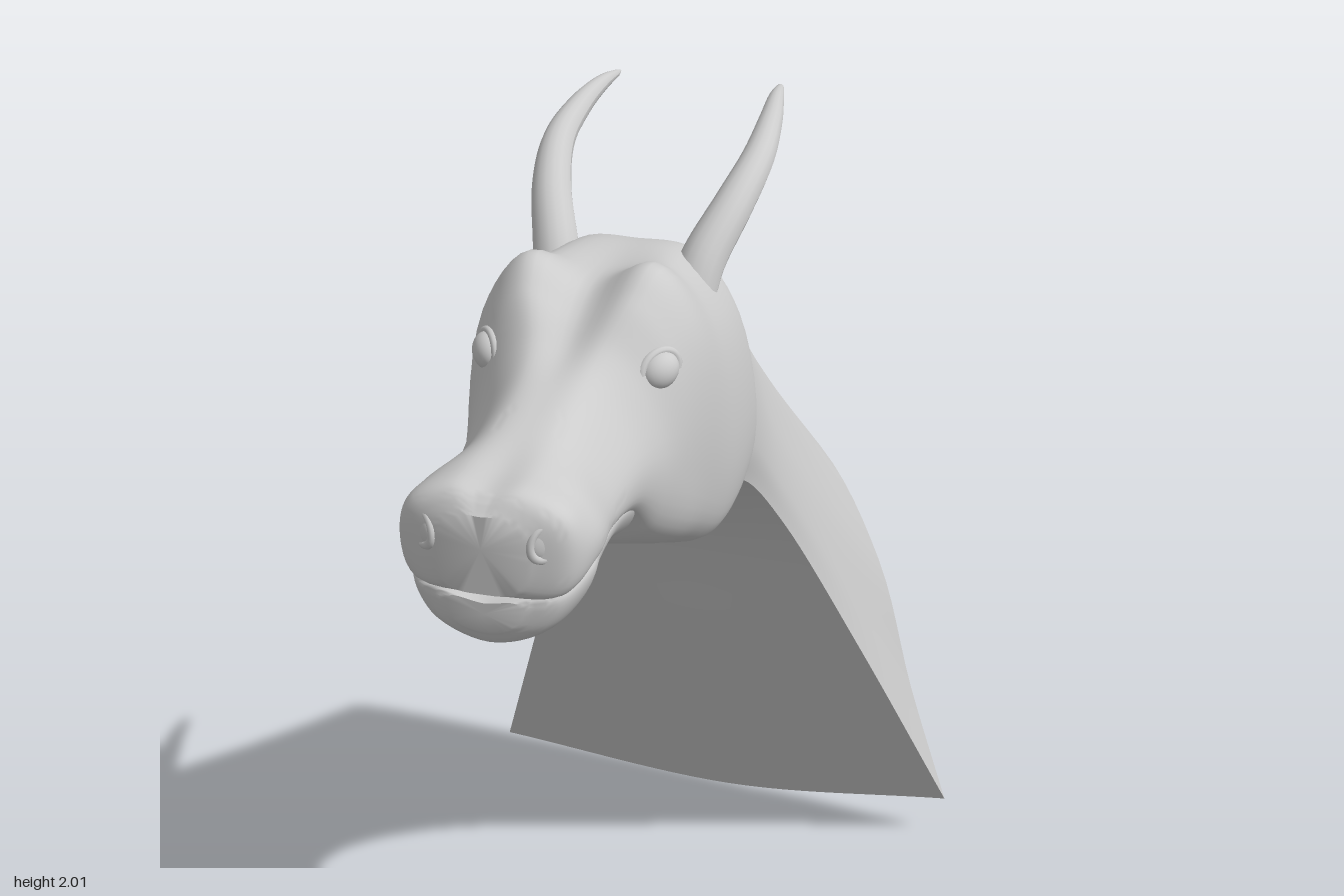
import * as THREE from 'three';
import { toCreasedNormals } from 'three/addons/utils/BufferGeometryUtils.js';

const solid = new THREE.MeshStandardMaterial({ color: 0xcccccc });
const thin = new THREE.MeshStandardMaterial({ color: 0xcccccc, side: THREE.DoubleSide });
const V = (x, y, z) => new THREE.Vector3(x, y, z);

// Smooth skin through cross-sections; closed skins get end caps
function loft(sections, nu, nv, closed) {
  const rings = sections.map((s) => {
    const curve = new THREE.CatmullRomCurve3(s, closed);
    return Array.from({ length: closed ? nv : nv + 1 }, (_, j) => curve.getPoint(j / nv));
  });
  const cols = rings[0].length;
  const lines = rings[0].map((_, j) => new THREE.CatmullRomCurve3(rings.map((r) => r[j])));
  const pos = [], idx = [];
  for (let i = 0; i <= nu; i++) for (const l of lines) pos.push(...l.getPoint(i / nu).toArray());
  for (let i = 0; i < nu; i++) {
    for (let j = 0; j < nv; j++) {
      const k = (j + 1) % cols, a = i * cols, b = a + cols;
      idx.push(a + j, a + k, b + j, a + k, b + k, b + j);
    }
  }
  if (closed) {
    for (const row of [0, nu]) {
      const mid = V(0, 0, 0);
      for (let j = 0; j < cols; j++) mid.add(V().fromArray(pos, (row * cols + j) * 3));
      const c = pos.length / 3;
      pos.push(...mid.divideScalar(cols).toArray());
      for (let j = 0; j < cols; j++) {
        const p = row * cols + j, q = row * cols + (j + 1) % cols;
        idx.push(c, ...(row ? [p, q] : [q, p]));
      }
    }
  }
  const g = new THREE.BufferGeometry();
  g.setAttribute('position', new THREE.Float32BufferAttribute(pos, 3));
  g.setIndex(idx);
  g.computeVertexNormals();
  return g;
}

// Row [z, topY, (x, y) pairs down the side, bottomY] to a mirrored ring
function ring([z, top, ...rest]) {
  const bottom = rest.pop(), side = [];
  for (let i = 0; i < rest.length; i += 2) side.push(V(rest[i], rest[i + 1], z));
  const other = side.map((p) => V(-p.x, p.y, z)).reverse();
  return [V(0, top, z), ...side, V(0, bottom, z), ...other];
}

function add(parent, name, geometry, material = solid) {
  const m = new THREE.Mesh(geometry, material);
  m.name = name;
  parent.add(m);
  return m;
}

// Tapered horn: a tube whose rings shrink towards the tip
function hornGeometry(side) {
  const path = new THREE.CatmullRomCurve3([
    [0.13, 1.74, 0.06], [0.145, 1.81, 0.02], [0.18, 1.89, -0.07], [0.2, 1.945, -0.18],
    [0.195, 1.977, -0.31], [0.182, 1.99, -0.42], [0.17, 1.986, -0.52],
  ].map(([x, y, z]) => V(side * x, y, z)));
  const n = 40, r = 16, g = new THREE.TubeGeometry(path, n, 1, r);
  const p = g.attributes.position, v = V();
  for (let i = 0; i <= n; i++) {
    const t = i / n, c = path.getPointAt(t);
    const radius = 0.046 * Math.pow(1 - t, 0.62) + 0.002;
    for (let j = 0; j <= r; j++) {
      const k = i * (r + 1) + j;
      v.fromBufferAttribute(p, k).sub(c).multiplyScalar(radius).add(c);
      p.setXYZ(k, v.x, v.y, v.z);
    }
  }
  g.computeVertexNormals();
  return g;
}

// Ball with a raised rim, facing a given direction
function rimmed(name, at, facing, radius, rim, depth, tilt) {
  const group = new THREE.Group();
  group.name = name;
  add(group, name + 'Ball', new THREE.SphereGeometry(radius, 24, 16)).scale.set(1, 0.85, depth);
  add(group, name + 'Rim', new THREE.TorusGeometry(radius, rim, 10, 32)).scale.set(1.05, 0.85, 1);
  group.position.copy(at);
  group.lookAt(at.clone().add(facing));
  group.rotateZ(tilt);
  return group;
}

export function createModel() {
  const model = new THREE.Group();
  model.name = 'hornedHead';

  // Skull and upper jaw, muzzle to nape
  const skull = [
    [0.918, 1.695, 0.03, 1.695, 0.07, 1.67, 0.08, 1.62, 0.06, 1.56, 1.55],
    [0.885, 1.72, 0.06, 1.727, 0.135, 1.69, 0.15, 1.62, 0.13, 1.55, 1.545],
    [0.8, 1.725, 0.065, 1.728, 0.135, 1.69, 0.172, 1.62, 0.155, 1.57, 1.565],
    [0.66, 1.738, 0.06, 1.73, 0.115, 1.68, 0.155, 1.6, 0.145, 1.56, 1.555],
    [0.52, 1.765, 0.06, 1.76, 0.12, 1.70, 0.167, 1.6, 0.15, 1.53, 1.52],
    [0.44, 1.785, 0.07, 1.795, 0.14, 1.73, 0.19, 1.58, 0.16, 1.45, 1.41],
    [0.36, 1.82, 0.1, 1.86, 0.18, 1.77, 0.213, 1.55, 0.18, 1.40, 1.37],
    [0.28, 1.845, 0.115, 1.9, 0.205, 1.78, 0.23, 1.5, 0.19, 1.36, 1.335],
    [0.16, 1.84, 0.12, 1.85, 0.213, 1.73, 0.245, 1.43, 0.2, 1.305, 1.285],
    [0.02, 1.835, 0.11, 1.825, 0.21, 1.70, 0.247, 1.42, 0.2, 1.30, 1.285],
    [-0.06, 1.81, 0.11, 1.8, 0.2, 1.68, 0.237, 1.42, 0.19, 1.315, 1.30],
    [-0.085, 1.79, 0.1, 1.78, 0.185, 1.67, 0.215, 1.43, 0.175, 1.34, 1.325],
  ];
  add(model, 'skull', toCreasedNormals(loft(skull.map(ring), 88, 60, true), 0.8));

  // Lower jaw, chin to throat
  const jaw = [
    [0.912, 1.53, 0.06, 1.535, 0.05, 1.49, 1.475],
    [0.885, 1.54, 0.125, 1.545, 0.1, 1.48, 1.44],
    [0.8, 1.56, 0.155, 1.565, 0.12, 1.475, 1.42],
    [0.72, 1.565, 0.148, 1.567, 0.11, 1.475, 1.425],
    [0.6, 1.555, 0.145, 1.555, 0.11, 1.49, 1.465],
    [0.46, 1.53, 0.15, 1.53, 0.12, 1.46, 1.405],
    [0.3, 1.5, 0.15, 1.5, 0.12, 1.42, 1.36],
  ];
  add(model, 'lowerJaw', toCreasedNormals(loft(jaw.map(ring), 48, 40, true), 0.8));

  // Neck: open shell, each section running from the crest down to the corner
  const neck = [
    [[0, 1.825, 0], [0.13, 1.78, 0], [0.2, 1.57, 0], [0.205, 1.4, 0], [0.18, 1.3, -0.03]],
    [[0, 1.75, -0.2], [0.11, 1.70, -0.2], [0.19, 1.5, -0.19], [0.205, 1.34, -0.18], [0.19, 1.255, -0.18]],
    [[0, 1.58, -0.4], [0.12, 1.5, -0.39], [0.2, 1.32, -0.37], [0.235, 1.16, -0.36], [0.24, 1.07, -0.36]],
    [[0, 1.405, -0.6], [0.155, 1.28, -0.6], [0.27, 1.05, -0.59], [0.34, 0.82, -0.585], [0.378, 0.66, -0.58]],
    [[0, 1.2, -0.83], [0.22, 1.03, -0.835], [0.37, 0.75, -0.84], [0.465, 0.41, -0.845], [0.565, 0.1, -0.85]],
  ].map((s) => s.map((p) => V(...p)));
  const mirror = (p) => V(-p.x, p.y, p.z);
  const mantle = neck.map((s) => [...s.slice(1).map(mirror).reverse(), ...s]);
  add(model, 'neckMantle', loft(mantle, 32, 48, false), thin);

  // Underside joins the two corners of every neck section
  const throat = [[1.285, -0.03], [1.225, -0.2], [1.02, -0.4], [0.61, -0.61], [0, -0.92]];
  const under = neck.map((s, i) => [s[4], V(0, ...throat[i]), mirror(s[4])]);
  add(model, 'neckUnderside', loft(under, 32, 24, false), thin);

  // Paired features
  for (const side of [1, -1]) {
    const label = side > 0 ? 'left' : 'right';
    add(model, label + 'Horn', hornGeometry(side));
    model.add(rimmed(label + 'Eye', V(side * 0.16, 1.745, 0.385), V(side * 0.8, 0.15, 0.6), 0.04, 0.009, 0.75, side * 0.3));
    model.add(rimmed(label + 'Nostril', V(side * 0.107, 1.652, 0.897), V(side * 0.6, 0.1, 0.8), 0.03, 0.008, 0.3, side * 0.9));
  }
  return model;
}
